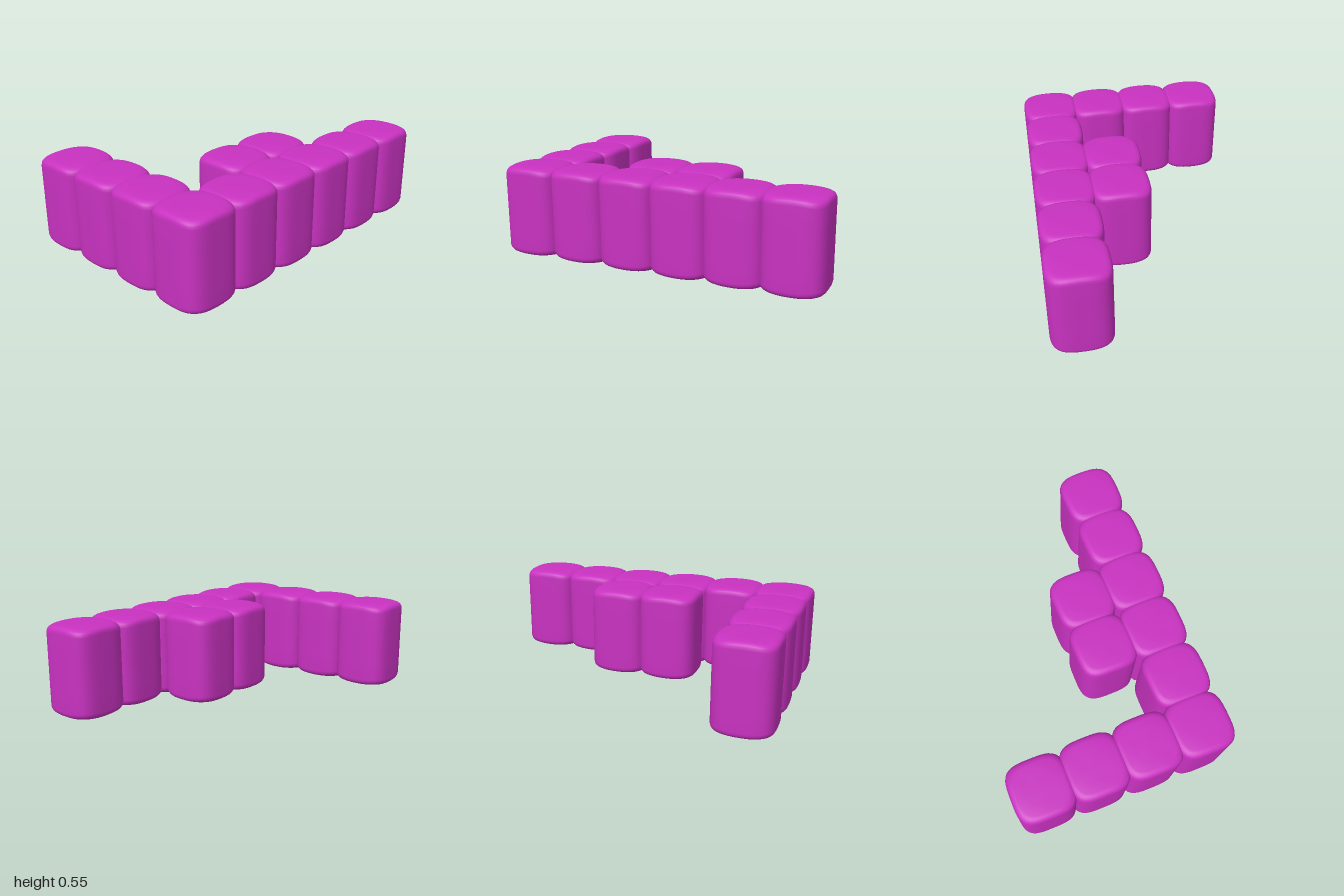
import * as THREE from 'three';
import { mergeVertices } from 'three/addons/utils/BufferGeometryUtils.js';

const HALF = 0.18;       // half width of a block
const HALF_H = 0.2725;   // half height of a block
const PITCH = 0.328;     // spacing, so neighbours overlap slightly

// Pillowy block: a lathe whose round plan is squared off into a superellipse.
function blockGeometry() {
  const upper = [[1, 0.12], [1, 0.232], [0.98, 0.248], [0.955, 0.256], [0.92, 0.2625],
    [0.86, 0.268], [0.78, 0.271], [0.5, HALF_H], [0, HALF_H]];
  const lower = upper.map(([r, y]) => [r, -y]).reverse();
  const profile = [...lower, ...upper].map(([r, y]) => new THREE.Vector2(r, y));
  let geo = new THREE.LatheGeometry(profile, 56);
  const pos = geo.attributes.position;
  const power = 3.8;
  for (let i = 0; i < pos.count; i++) {
    const x = pos.getX(i), z = pos.getZ(i);
    const r = Math.hypot(x, z);
    const norm = Math.pow(Math.abs(x) ** power + Math.abs(z) ** power, 1 / power);
    const k = norm > 1e-6 ? (HALF * r) / norm : 0;
    const px = x * k, pz = z * k;
    // the four corners of the top and bottom sag a little
    const sag = 1 - 0.04 * ((px * pz) / 0.0225) ** 2;
    pos.setXYZ(i, px, pos.getY(i) * sag, pz);
  }
  geo.deleteAttribute('uv');
  geo.deleteAttribute('normal');
  geo = mergeVertices(geo, 1e-5);
  geo.computeVertexNormals();
  return geo;
}

export function createModel() {
  const model = new THREE.Group();
  model.name = 'blockPiece';
  const geometry = blockGeometry();
  const material = new THREE.MeshStandardMaterial({ color: 0xc832c0 });

  // Plan of the piece, back row first
  const plan = [
    '...#',
    '...#',
    '..##',
    '..##',
    '...#',
    '####',
  ];
  plan.forEach((row, j) => {
    [...row].forEach((cell, i) => {
      if (cell !== '#') return;
      const block = new THREE.Mesh(geometry, material);
      block.name = `block_${j}_${i}`;
      block.position.set((i - 1.5) * PITCH, HALF_H, (j - 2.5) * PITCH);
      model.add(block);
    });
  });
  return model;
}
